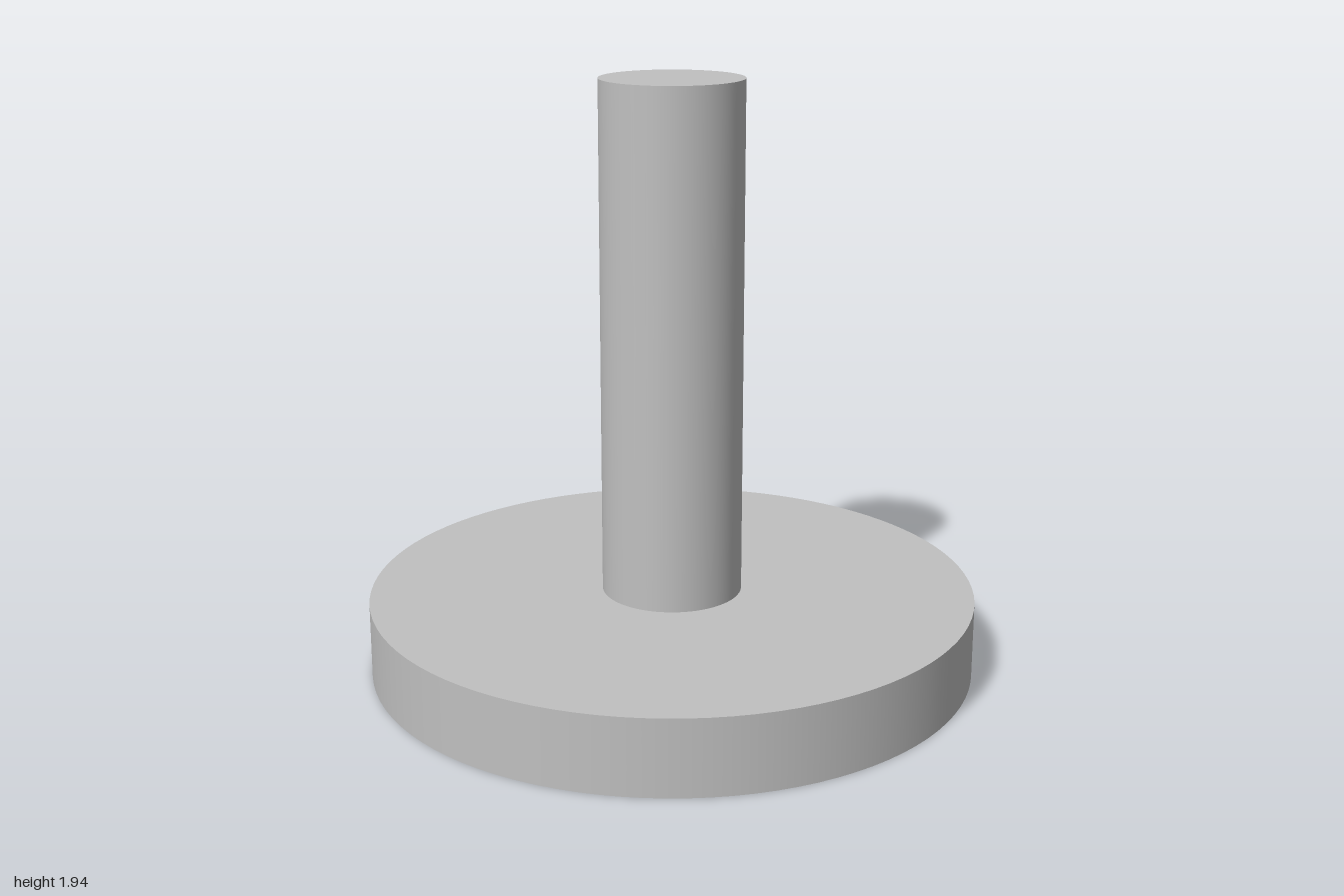
import * as THREE from 'three';

export function createModel() {
  const group = new THREE.Group();
  const grey = new THREE.MeshStandardMaterial({ name: 'plain grey', color: 0xc0c0c0 });

  // Upright round part standing on height y
  const addCylinder = (name, radius, y, height) => {
    const mesh = new THREE.Mesh(new THREE.CylinderGeometry(radius, radius, height, 96), grey);
    mesh.name = name;
    mesh.position.y = y + height / 2;
    group.add(mesh);
  };

  addCylinder('baseDisc', 1, 0, 0.25);
  addCylinder('shaft', 0.231, 0.25, 1.688);

  return group;
}
